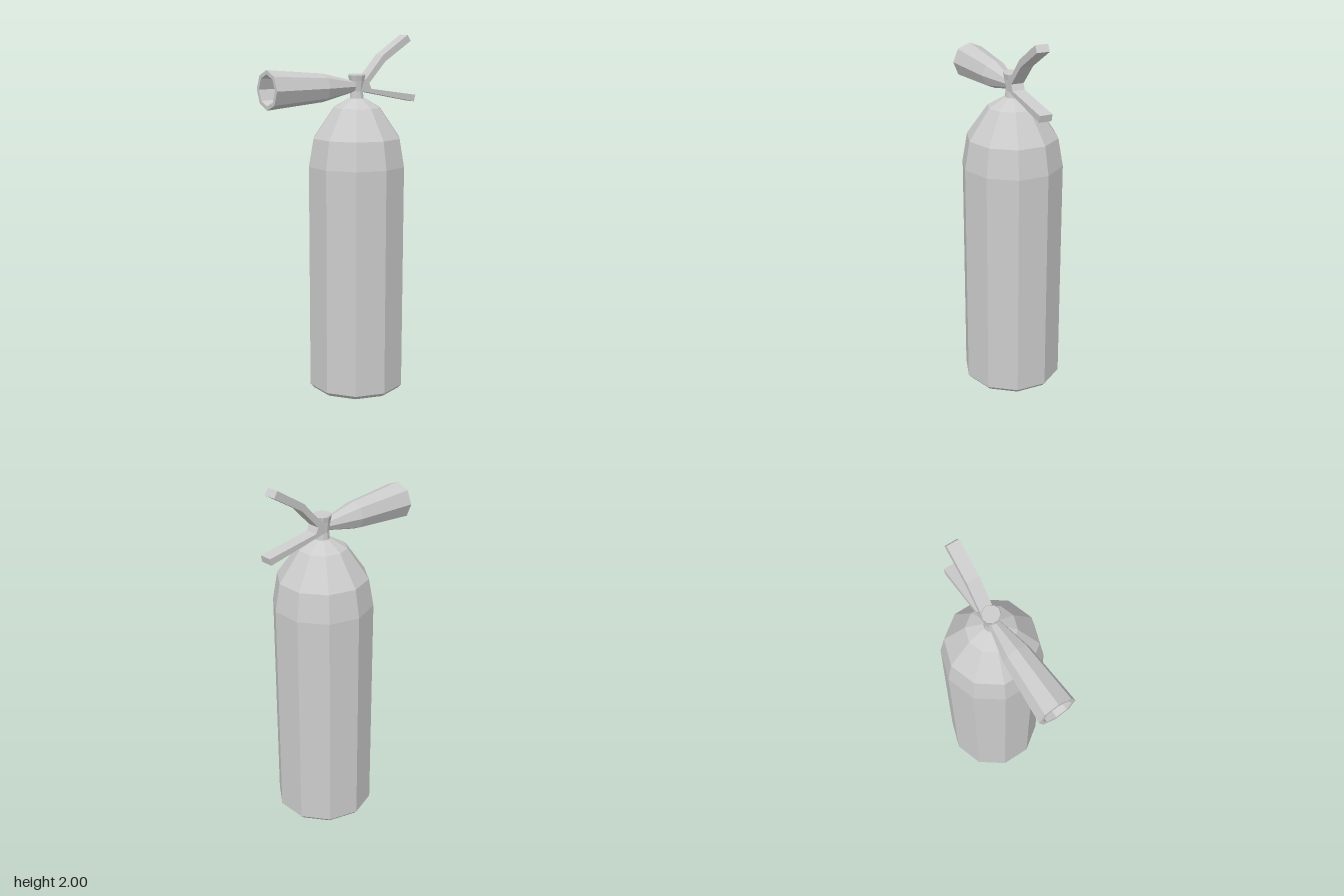
import * as THREE from 'three';

const AXIS_X = 0.09;

export function createModel() {
  const model = new THREE.Group();
  const material = new THREE.MeshStandardMaterial({ color: 0xcccccc, flatShading: true });

  const add = (name, geometry, x = 0, y = 0, z = 0) => {
    const mesh = new THREE.Mesh(geometry, material);
    mesh.name = name;
    mesh.position.set(x, y, z);
    model.add(mesh);
    return mesh;
  };
  // Faceted solid of revolution from [radius, height] pairs
  const lathe = (profile, sides) =>
    new THREE.LatheGeometry(profile.map(([r, y]) => new THREE.Vector2(r, y)), sides);

  // Ten-sided tank with chamfered foot and domed shoulder
  add('tank', lathe([
    [0, 0], [0.255, 0], [0.275, 0.022], [0.275, 1.29],
    [0.248, 1.445], [0.133, 1.61], [0.045, 1.66], [0, 1.66],
  ], 10), AXIS_X);

  // Valve neck with a flared cap
  add('valveNeck', lathe([
    [0, 1.64], [0.042, 1.64], [0.036, 1.70], [0.043, 1.755],
    [0.05, 1.785], [0.046, 1.792], [0, 1.792],
  ], 10), AXIS_X);

  // Discharge horn: outer skin, rim and hollow mouth, pointing to -x
  const horn = add('horn', lathe([
    [0, -0.02], [0.025, -0.02], [0.076, 0.205], [0.104, 0.55],
    [0.082, 0.55], [0.058, 0.205], [0, 0.205],
  ], 8), 0.07, 1.725);
  horn.rotation.z = Math.PI / 2;

  // Squeeze lever and carrying handle joined at the valve
  const outline = [
    [0.09, 1.70], [0.125, 1.695], [0.468, 1.627], [0.477, 1.664],
    [0.165, 1.71], [0.15, 1.742], [0.26, 1.857], [0.437, 1.966],
    [0.415, 2.0], [0.245, 1.892], [0.128, 1.765], [0.09, 1.745],
  ].map(([x, y]) => new THREE.Vector2(x, y));
  const width = 0.07;
  add('handleAndLever', new THREE.ExtrudeGeometry(new THREE.Shape(outline),
    { depth: width, bevelEnabled: false }), 0, 0, -width / 2);

  return model;
}
